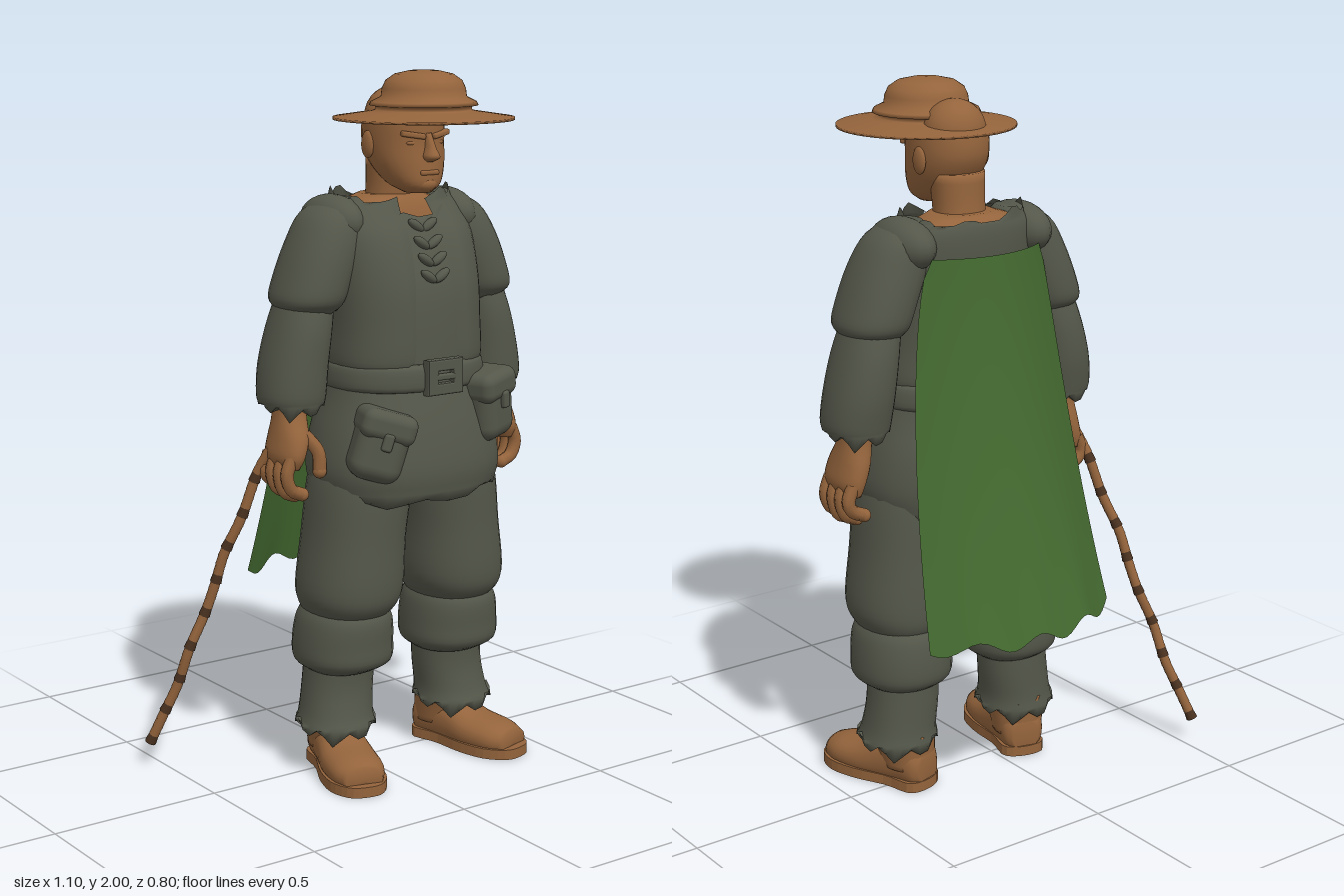
import * as THREE from 'three';
import { RoundedBoxGeometry } from 'three/addons/geometries/RoundedBoxGeometry.js';

const mat = (name, color, side = THREE.FrontSide) => {
  const m = new THREE.MeshStandardMaterial({ color, side });
  m.name = name;
  return m;
};

// Lofts horizontal superellipse rings [x, y, z, rx, rz] given from bottom to top.
// gap opens the front; tear and topTear give ragged end rings.
function loft(rows, { n = 28, sub = 4, p = 2.2, gap = 0, tear = 0, topTear = 0, cap = true } = {}) {
  const centres = new THREE.CatmullRomCurve3(rows.map(r => new THREE.Vector3(r[0], r[1], r[2])), false, 'catmullrom');
  const radii = new THREE.CatmullRomCurve3(rows.map(r => new THREE.Vector3(r[3], r[4], 0)), false, 'catmullrom');
  const rings = (rows.length - 1) * sub, open = gap > 0, cols = open ? n + 1 : n;
  const pos = [], idx = [], pw = v => Math.sign(v) * Math.pow(Math.abs(v), 2 / p);
  for (let i = 0; i <= rings; i++) {
    const c = centres.getPoint(i / rings), r = radii.getPoint(i / rings);
    for (let j = 0; j < cols; j++) {
      const a = Math.PI / 2 + gap + (j / n) * (2 * Math.PI - 2 * gap);
      const k = open && (j === 0 || j === n) ? 0.88 : 1;
      const amp = i === 0 ? tear : i === rings ? topTear : 0;
      pos.push(c.x + r.x * k * pw(Math.cos(a)), c.y + amp * Math.sin(5 * a) * Math.sin(3 * a + 1), c.z + r.y * k * pw(Math.sin(a)));
    }
  }
  for (let i = 0; i < rings; i++) {
    for (let j = 0; j < n; j++) {
      const a = i * cols + j, b = i * cols + (j + 1) % cols, c = a + cols, d = b + cols;
      idx.push(a, c, b, b, c, d);
    }
  }
  if (cap && !open) {
    const lo = pos.length / 3, last = rings * cols;
    const f = rows[0], e = rows[rows.length - 1];
    pos.push(f[0], f[1], f[2], e[0], e[1], e[2]);
    for (let j = 0; j < n; j++) {
      const k = (j + 1) % n;
      idx.push(lo, j, k, lo + 1, last + k, last + j);
    }
  }
  const g = new THREE.BufferGeometry();
  g.setAttribute('position', new THREE.Float32BufferAttribute(pos, 3));
  g.setIndex(idx);
  g.computeVertexNormals();
  return g;
}

export function createModel() {
  const root = new THREE.Group();
  root.name = 'traveller';
  const body = new THREE.Group();
  body.name = 'figure';
  body.position.x = 0.11;
  root.add(body);

  const brown = mat('brown', 0x94643c), cloth = mat('greyCloth', 0x54574a, THREE.DoubleSide);
  const green = mat('capeGreen', 0x446a30, THREE.DoubleSide), dark = mat('darkBark', 0x4a3220);

  const add = (name, geo, m, x = 0, y = 0, z = 0, parent = body) => {
    const mesh = new THREE.Mesh(geo, m);
    mesh.name = name;
    mesh.position.set(x, y, z);
    parent.add(mesh);
    return mesh;
  };
  const ball = (name, m, x, y, z, sx, sy, sz) => add(name, new THREE.SphereGeometry(1, 20, 14).scale(sx, sy, sz), m, x, y, z);
  const tube = (name, pts, r, m) => {
    const curve = new THREE.CatmullRomCurve3(pts.map(q => new THREE.Vector3(...q)));
    add(name, new THREE.TubeGeometry(curve, 10, r, 8), m);
    const e = pts[pts.length - 1];
    ball(name + 'Tip', m, e[0], e[1], e[2], r, r, r);
  };

  // Hat
  const hat = [[0, 1.865], [0.15, 1.865], [0.25, 1.866], [0.25, 1.873], [0.15, 1.888], [0.132, 1.892], [0.132, 1.902], [0.15, 1.905],
    [0.145, 1.915], [0.118, 1.928], [0.115, 1.95], [0.105, 1.972], [0.08, 1.989], [0.04, 1.998], [0, 2.0]];
  add('hat', new THREE.LatheGeometry(hat.map(q => new THREE.Vector2(...q)), 48), brown, 0, 0, 0.15);

  // Head, neck and bare shoulders
  add('head', loft([[0, 1.665, 0.125, 0.035, 0.04], [0, 1.69, 0.105, 0.07, 0.078], [0, 1.74, 0.075, 0.096, 0.106],
    [0, 1.8, 0.055, 0.106, 0.12], [0, 1.86, 0.055, 0.106, 0.12], [0, 1.88, 0.055, 0.1, 0.11]]), brown);
  ball('cranium', brown, 0, 1.87, 0.02, 0.09, 0.085, 0.082);
  add('neck', loft([[0, 1.58, -0.01, 0.085, 0.07], [0, 1.66, 0, 0.073, 0.066], [0, 1.76, 0.01, 0.078, 0.07]]), brown);
  add('bareShoulders', loft([[0, 1.54, 0, 0.19, 0.11], [0, 1.62, -0.015, 0.17, 0.1], [0, 1.655, -0.01, 0.09, 0.075]]), brown);

  // Face
  add('nose', loft([[0, 1.752, 0.178, 0.01, 0.012], [0, 1.765, 0.185, 0.022, 0.03], [0, 1.79, 0.176, 0.014, 0.026], [0, 1.83, 0.166, 0.01, 0.014]], { n: 12 }), brown);
  add('lips', new RoundedBoxGeometry(0.062, 0.014, 0.02, 2, 0.006), brown, 0, 1.722, 0.176);
  ball('chin', brown, 0, 1.69, 0.155, 0.036, 0.024, 0.033);
  for (const s of [-1, 1]) {
    const brow = add('brow', new RoundedBoxGeometry(0.07, 0.016, 0.026, 2, 0.006), brown, s * 0.045, 1.825, 0.163);
    brow.rotation.set(0, s * 0.3, s * 0.15);
    ball('eye', brown, s * 0.043, 1.803, 0.155, 0.02, 0.008, 0.012);
    ball('ear', brown, s * 0.106, 1.795, 0.035, 0.012, 0.038, 0.026);
  }

  // Shirt, tunic skirt and vest
  add('shirt', loft([[0, 1.12, 0.06, 0.2, 0.165], [0, 1.3, 0.06, 0.205, 0.162], [0, 1.42, 0.05, 0.205, 0.158],
    [0, 1.54, 0.025, 0.2, 0.14], [0, 1.61, 0.01, 0.175, 0.118]], { p: 2.4, cap: false, topTear: 0.025 }), cloth);
  add('tunicSkirt', loft([[0, 0.825, 0.06, 0.272, 0.212], [0, 0.9, 0.06, 0.288, 0.222], [0, 1.0, 0.055, 0.272, 0.214],
    [0, 1.1, 0.055, 0.24, 0.19], [0, 1.2, 0.05, 0.215, 0.165]], { p: 2.3, tear: 0.02 }), cloth);
  add('vest', loft([[0, 1.18, 0.06, 0.222, 0.165], [0, 1.21, 0.06, 0.23, 0.176], [0, 1.3, 0.06, 0.225, 0.175], [0, 1.42, 0.05, 0.225, 0.175],
    [0, 1.54, 0.025, 0.225, 0.16], [0, 1.61, 0, 0.21, 0.135], [0, 1.65, -0.01, 0.18, 0.115]], { p: 2.4, gap: 0.22, n: 36, topTear: 0.03 }), cloth);

  // Shirt lacing
  for (let i = 0; i < 4; i++) {
    const y = 1.44 + i * 0.045;
    for (const s of [-1, 1]) {
      const knot = ball('lacing', cloth, s * 0.022, y, 0.208 - i * 0.011 - i * i * 0.003, 0.03, 0.013, 0.014);
      knot.rotation.z = s * 0.6;
    }
  }

  // Belt and buckle
  add('belt', loft([[0, 1.125, 0.055, 0.23, 0.185], [0, 1.14, 0.055, 0.24, 0.192], [0, 1.185, 0.055, 0.235, 0.19], [0, 1.2, 0.055, 0.22, 0.178]], { p: 2.3, sub: 3 }), cloth);
  const frame = new THREE.Shape([[-0.055, -0.045], [0.055, -0.045], [0.055, 0.045], [-0.055, 0.045]].map(q => new THREE.Vector2(...q)));
  frame.holes.push(new THREE.Path([[-0.03, -0.022], [-0.03, 0.022], [0.03, 0.022], [0.03, -0.022]].map(q => new THREE.Vector2(...q))));
  add('buckle', new THREE.ExtrudeGeometry(frame, { depth: 0.02, bevelSize: 0.005, bevelThickness: 0.005, bevelSegments: 2 }), cloth, 0, 1.165, 0.238);
  add('buckleBar', new RoundedBoxGeometry(0.07, 0.018, 0.018, 2, 0.006), cloth, 0, 1.165, 0.255);

  // Pouches
  const pouch = (x, y, tilt, turn) => {
    const g = new THREE.Group();
    g.name = 'pouch';
    g.position.set(x, y, 0.2);
    g.rotation.set(0, turn, tilt);
    body.add(g);
    add('pouchBag', new RoundedBoxGeometry(0.15, 0.18, 0.13, 4, 0.045), cloth, 0, -0.01, 0, g);
    add('pouchFlap', new RoundedBoxGeometry(0.16, 0.085, 0.145, 4, 0.03), cloth, 0, 0.06, 0, g);
    add('pouchToggle', new RoundedBoxGeometry(0.03, 0.05, 0.02, 2, 0.008), cloth, 0, 0.02, 0.07, g);
  };
  pouch(0.185, 1.06, 0.12, 0.35);
  pouch(-0.185, 0.985, -0.3, -0.35);

  // Boot sole outline, shared by both feet
  const outline = [[0, -0.09], [0.06, -0.07], [0.064, 0.02], [0.085, 0.13], [0.082, 0.22], [0.045, 0.278]];
  const full = [...outline, [0, 0.288], ...outline.slice(1).reverse().map(([x, z]) => [-x, z])];
  const solePts = new THREE.CatmullRomCurve3(full.map(([x, z]) => new THREE.Vector3(x, z, 0)), true).getPoints(40);
  const soleShape = new THREE.Shape(solePts.slice(0, -1).map(q => new THREE.Vector2(q.x, q.y)));

  for (const s of [-1, 1]) {
    const side = (rows, o) => loft(rows.map(r => [r[0] * s, ...r.slice(1)]), o);

    // Sleeves
    ball('shoulderPad', cloth, s * 0.195, 1.585, -0.01, 0.07, 0.075, 0.125);
    add('upperSleeve', side([[0.29, 1.345, 0.005, 0.075, 0.085], [0.292, 1.375, 0.005, 0.096, 0.116], [0.275, 1.43, 0.005, 0.1, 0.122],
      [0.235, 1.53, 0.005, 0.1, 0.115], [0.2, 1.61, 0, 0.085, 0.095], [0.17, 1.65, 0, 0.035, 0.045]], { tear: 0.012 }), cloth);
    add('forearmSleeve', side([[0.345, 1.085, 0.005, 0.086, 0.095], [0.345, 1.12, 0.005, 0.092, 0.102], [0.335, 1.2, 0, 0.09, 0.108],
      [0.315, 1.3, 0, 0.083, 0.105], [0.29, 1.4, 0, 0.075, 0.085]], { tear: 0.035 }), cloth);

    // Hands
    add('palm', side([[0.378, 0.915, 0.015, 0.026, 0.068], [0.375, 0.95, 0.018, 0.04, 0.08], [0.362, 1.0, 0.015, 0.045, 0.075],
      [0.352, 1.06, 0.005, 0.045, 0.052], [0.35, 1.12, 0, 0.045, 0.05]]), brown);
    for (let i = 0; i < 4; i++) {
      const z = 0.072 - i * 0.038, d = [0, 0.01, 0.005, -0.015][i];
      tube('finger', [[s * 0.388, 0.95, z], [s * 0.405, 0.9, z], [s * 0.39, 0.86 - d, z], [s * 0.355, 0.843 - d, z]], 0.019, brown);
    }
    tube('thumb', [[s * 0.34, 1.01, 0.06], [s * 0.308, 0.96, 0.082], [s * 0.305, 0.905, 0.085]], 0.02, brown);

    // Trousers
    add('thigh', side([[0.185, 0.46, 0.035, 0.1, 0.11], [0.185, 0.5, 0.045, 0.13, 0.145], [0.18, 0.56, 0.05, 0.147, 0.157],
      [0.168, 0.7, 0.052, 0.14, 0.156], [0.15, 0.85, 0.055, 0.14, 0.155], [0.14, 0.95, 0.05, 0.12, 0.14]]), cloth);
    add('kneeWrap', side([[0.19, 0.305, 0.025, 0.1, 0.1], [0.19, 0.335, 0.03, 0.136, 0.14], [0.19, 0.39, 0.03, 0.139, 0.146],
      [0.188, 0.46, 0.035, 0.13, 0.142], [0.186, 0.5, 0.035, 0.11, 0.12]]), cloth);
    add('shin', side([[0.212, 0.135, 0.025, 0.114, 0.116], [0.208, 0.18, 0.02, 0.104, 0.104], [0.198, 0.26, 0.015, 0.102, 0.097],
      [0.192, 0.36, 0.02, 0.1, 0.1]], { tear: 0.035 }), cloth);

    // Boots, turned outward
    const boot = new THREE.Group();
    boot.name = 'boot';
    boot.position.x = s * 0.2;
    boot.rotation.y = s * 0.27;
    body.add(boot);
    const upper = loft([[0, -0.085, -0.06, 0.04, 0.045], [0, -0.06, -0.07, 0.062, 0.07], [0, 0, -0.075, 0.068, 0.083], [0, 0.06, -0.065, 0.074, 0.075],
      [0, 0.13, -0.05, 0.082, 0.058], [0, 0.21, -0.045, 0.078, 0.048], [0, 0.262, -0.04, 0.055, 0.036]]).rotateX(Math.PI / 2);
    const v = upper.attributes.position;
    for (let i = 0; i < v.count; i++) v.setY(i, Math.max(0.015, v.getY(i)));
    upper.computeVertexNormals();
    add('bootUpper', upper, brown, 0, 0, 0, boot);
    add('bootShaft', loft([[0, 0.06, -0.01, 0.07, 0.075], [0, 0.12, 0, 0.08, 0.085], [0, 0.165, 0.01, 0.09, 0.095]], { topTear: 0.025 }), brown, 0, 0, 0, boot);
    add('bootSole', new THREE.ExtrudeGeometry(soleShape, { depth: 0.03, bevelEnabled: false }).rotateX(Math.PI / 2), brown, 0, 0.03, 0, boot);
  }

  // Cape: flares, sweeps back and curves round the shoulders, with a wavy hem
  const cape = new THREE.PlaneGeometry(2, 1, 32, 20), cp = cape.attributes.position;
  for (let i = 0; i < cp.count; i++) {
    const u = cp.getX(i), t = 0.5 - cp.getY(i);
    const wave = t ** 6 * 0.018 * Math.sin(u * 11 + 1);
    cp.setXYZ(i, u * (0.18 + 0.13 * t ** 0.6), 1.56 - 1.035 * t + wave,
      -0.18 - 0.11 * t - 0.11 * t * t + u * u * (0.055 + 0.06 * Math.sqrt(t)));
  }
  cape.computeVertexNormals();
  add('cape', cape, green);

  // Crooked walking stick with dark bands
  const path = new THREE.CatmullRomCurve3([[-0.29, 0.96, -0.02], [-0.31, 0.89, -0.055], [-0.345, 0.76, -0.085], [-0.38, 0.65, -0.125],
    [-0.395, 0.56, -0.15], [-0.415, 0.47, -0.175], [-0.455, 0.37, -0.195], [-0.475, 0.25, -0.235], [-0.505, 0.16, -0.265], [-0.533, 0.07, -0.297]]
    .map(q => new THREE.Vector3(...q)));
  const N = 36, up = new THREE.Vector3(0, 1, 0);
  for (let i = 0; i < N; i++) {
    const a = path.getPointAt(i / N), b = path.getPointAt((i + 1) / N), d = a.clone().sub(b);
    const band = i % 4 === 3;
    const seg = add(band ? 'stickBand' : 'stick', new THREE.CylinderGeometry(0.014, band ? 0.017 : 0.015, d.length() * 1.08, 8), band ? dark : brown, 0, 0, 0, root);
    seg.position.copy(a).add(b).multiplyScalar(0.5);
    seg.quaternion.setFromUnitVectors(up, d.normalize());
  }
  return root;
}
